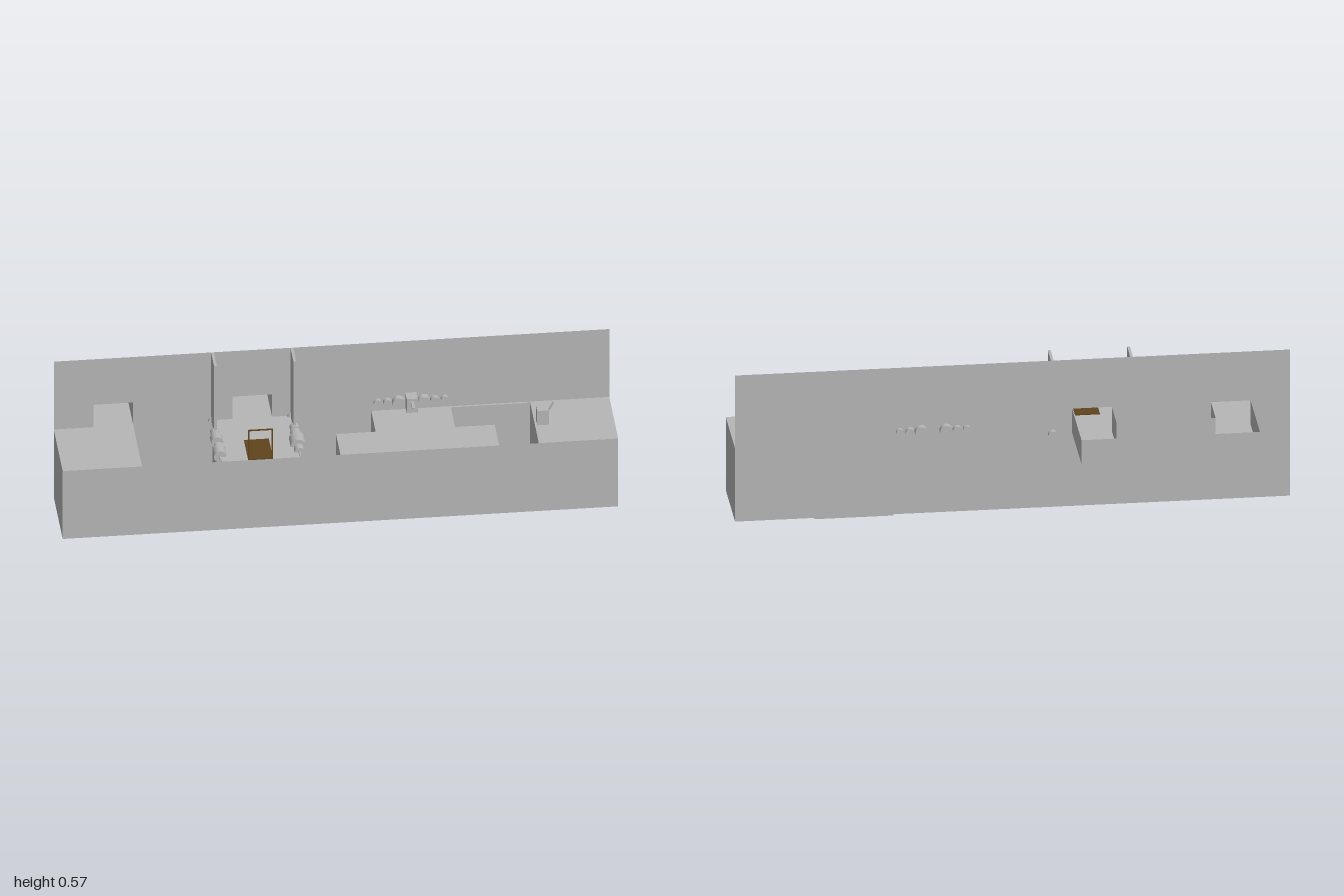
import * as THREE from 'three';

export function createModel() {
  const model = new THREE.Group();
  const stone = new THREE.MeshStandardMaterial({ color: 0xb6b6b6, side: THREE.DoubleSide });
  stone.name = 'grey stone';
  const wood = new THREE.MeshStandardMaterial({ color: 0x60451c, side: THREE.DoubleSide });
  wood.name = 'brown wood';

  const U = 1 / 7;              // level grid unit
  const FLOOR = 0.29, BOTTOM = 0.005, TOP = 0.575, FRONT = 2 * U;

  const add = (name, geometry, material = stone, parent = model) => {
    const mesh = new THREE.Mesh(geometry, material);
    mesh.name = name;
    parent.add(mesh);
    return mesh;
  };
  // box given by its limits
  const box = (name, x0, x1, y0, y1, z0, z1, material, parent) => {
    const g = new THREE.BoxGeometry(x1 - x0, y1 - y0, z1 - z0);
    g.translate((x0 + x1) / 2, (y0 + y1) / 2, (z0 + z1) / 2);
    return add(name, g, material, parent);
  };
  // round drum lying along z
  const drum = (name, x, y, z0, z1, r, parent) => {
    const g = new THREE.CylinderGeometry(r, r, z1 - z0, 24);
    g.rotateX(Math.PI / 2);
    g.translate(x, y, (z0 + z1) / 2);
    return add(name, g, stone, parent);
  };
  const polygon = (points) => new THREE.Shape(points.map(([x, y]) => new THREE.Vector2(x, y)));
  const rect = (x0, x1, y0, y1) => polygon([[x0, y0], [x1, y0], [x1, y1], [x0, y1]]);

  // raised floors, with open pits left between them
  const floors = new THREE.Group();
  floors.name = 'raisedFloors';
  model.add(floors);
  [
    ['leftLedge', -1, -5 * U, 0, FRONT],
    ['gateRoomFloor', -3 * U, -U, 0, FRONT],
    ['stepFloor', 0, U, U, FRONT],
    ['machineFloor', U, 3 * U, 0, FRONT],
    ['pitStep', 3 * U, 4 * U, U, FRONT],
    ['rightLedge', 5 * U, 1, 0, FRONT],
  ].forEach(([name, x0, x1, z0, z1]) => box(name, x0, x1, BOTTOM, FLOOR, z0, z1, stone, floors));

  // outer skin and pit bottoms
  const front = new THREE.PlaneGeometry(2, FLOOR - BOTTOM);
  front.translate(0, (FLOOR + BOTTOM) / 2, FRONT);
  add('frontFace', front);
  const under = new THREE.PlaneGeometry(2, FRONT);
  under.rotateX(-Math.PI / 2);
  under.translate(0, BOTTOM, FRONT / 2);
  add('pitBottom', under);
  box('sunkenTray', 3 * U, 5 * U, 0, BOTTOM, 0, U);
  box('pitLip', 3 * U, 4.93 * U, FLOOR - 0.008, FLOOR, 0, 0.008);

  // back wall with two doorways
  const doorTop = FLOOR + 0.094;
  const wall = rect(-1, 1, BOTTOM, TOP);
  [-6 * U, -2.5 * U].forEach((x) => wall.holes.push(rect(x, x + U, FLOOR, doorTop)));
  add('backWall', new THREE.ShapeGeometry(wall));

  // roofless U-shaped passage joining the doorways
  const passage = new THREE.Group();
  passage.name = 'passage';
  model.add(passage);
  const outer = [[-6 * U, 0], [-6 * U, -2 * U], [-1.5 * U, -2 * U], [-1.5 * U, 0]];
  const inner = [[-2.5 * U, 0], [-2.5 * U, -U], [-5 * U, -U], [-5 * U, 0]];
  const passageFloor = new THREE.ShapeGeometry(polygon([...outer, ...inner].map(([x, z]) => [x, -z])));
  passageFloor.rotateX(-Math.PI / 2);
  passageFloor.translate(0, FLOOR, 0);
  add('passageFloor', passageFloor, stone, passage);
  for (const line of [outer, inner]) {
    for (let i = 0; i < 3; i++) {
      const [ax, az] = line[i], [bx, bz] = line[i + 1];
      const g = new THREE.PlaneGeometry(Math.hypot(bx - ax, bz - az), doorTop - FLOOR);
      if (ax === bx) g.rotateY(Math.PI / 2);
      g.translate((ax + bx) / 2, (FLOOR + doorTop) / 2, (az + bz) / 2);
      add('passageWall', g, stone, passage);
    }
  }

  // upright panels and rows of drums on both edges of the gate room
  const rows = [
    [-3 * U, [[-0.018, 0.012, 0.016], [0.075, 0.105, 0.017], [0.117, 0.155, 0.022],
      [0.172, 0.194, 0.014], [0.2, 0.253, 0.023]]],
    [-U, [[-0.018, 0.012, 0.016], [0.075, 0.105, 0.017], [0.117, 0.142, 0.02],
      [0.155, 0.213, 0.028], [0.222, 0.253, 0.018]]],
  ];
  for (const [x, drums] of rows) {
    box('uprightPanel', x - 0.005, x + 0.005, FLOOR, TOP, 0, 0.095);
    const row = new THREE.Group();
    row.name = 'drumRow';
    model.add(row);
    drum('axle', x, FLOOR, 0, 0.28, 0.004, row);
    drums.forEach(([z0, z1, r]) => drum('drum', x, FLOOR, z0, z1, r, row));
  }

  // wooden mat and gate frame
  const gx0 = -0.332, gx1 = -0.243, t = 0.005;
  box('mat', gx0, gx1, FLOOR, FLOOR + 0.004, 0.153, FRONT, wood);
  const gate = new THREE.Group();
  gate.name = 'gateFrame';
  model.add(gate);
  for (const x of [gx0, gx1 - t]) box('gatePost', x, x + t, FLOOR, 0.416, FRONT - 0.003, FRONT, wood, gate);
  for (const y of [FLOOR, 0.416 - t]) box('gateRail', gx0, gx1, y, y + t, FRONT - 0.003, FRONT, wood, gate);

  // wall machine: mirrored wheels around a box with a spout
  const machine = new THREE.Group();
  machine.name = 'wallMachine';
  model.add(machine);
  const mx = 2 * U, my = 0.326;
  for (const s of [-1, 1]) {
    drum('smallWheel', mx + s * 0.121, my, -0.014, 0.014, 0.014, machine);
    drum('middleWheel', mx + s * 0.085, my, -0.018, 0.018, 0.016, machine);
    drum('largeWheel', mx + s * 0.045, my, -0.023, 0.024, 0.023, machine);
  }
  box('machineBox', mx - 0.02, mx + 0.02, 0.3, 0.358, 0, 0.045, stone, machine);
  box('spout', mx - 0.005, mx + 0.005, 0.341, 0.348, 0.045, 0.09, stone, machine);

  // switch box with a tilted lever
  const control = new THREE.Group();
  control.name = 'switchBox';
  model.add(control);
  box('switchBody', 0.722, 0.764, FLOOR, 0.35, 0.122, 0.164, stone, control);
  const lever = add('lever', new THREE.BoxGeometry(0.006, 0.06, 0.005), stone, control);
  lever.position.set(0.77, 0.345, U);
  lever.rotation.z = -0.5;

  return model;
}
